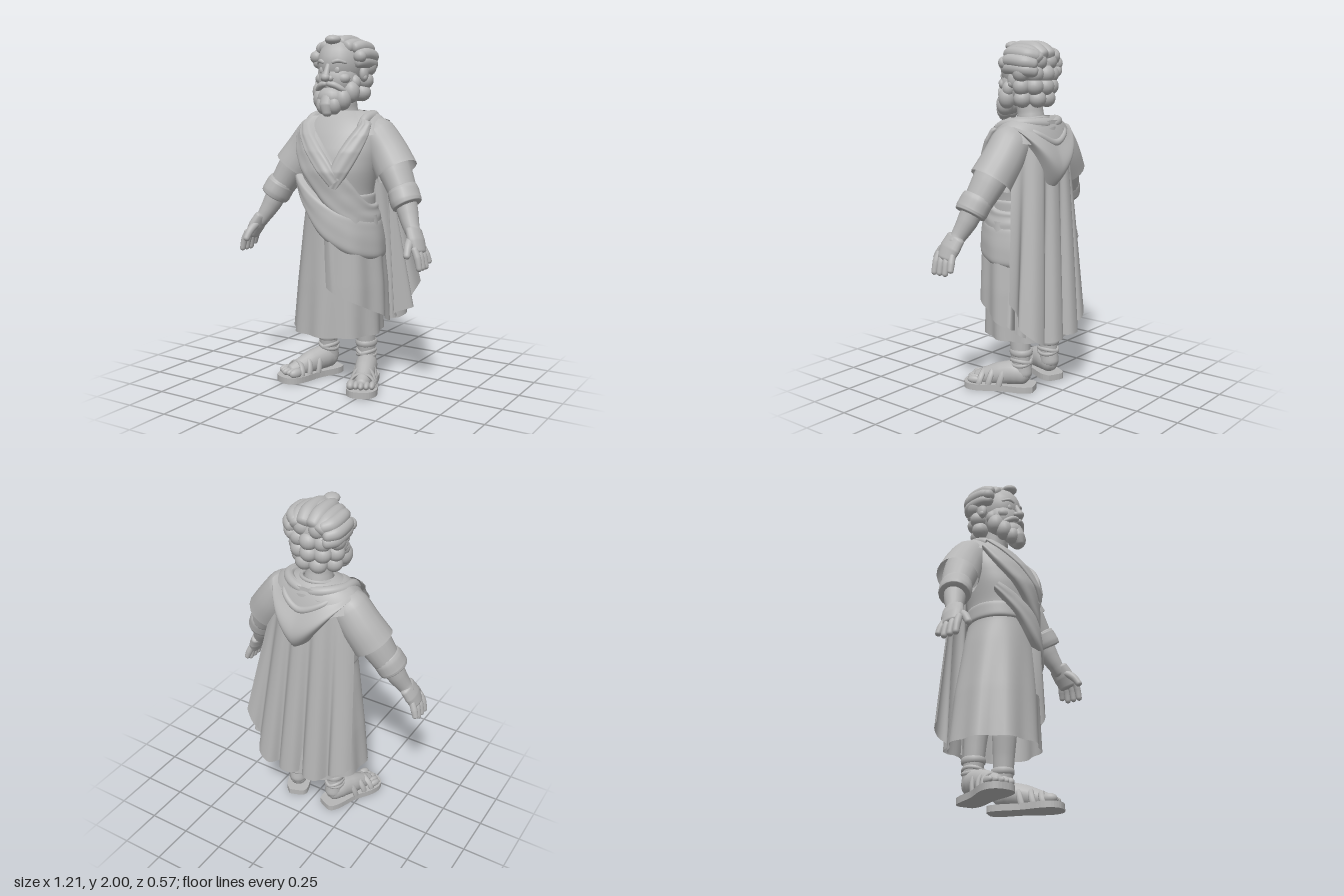
import * as THREE from 'three';
import { mergeVertices } from 'three/addons/utils/BufferGeometryUtils.js';

const grey = new THREE.MeshStandardMaterial({ color: 0xb6b6b6, side: THREE.DoubleSide });
grey.name = 'stone grey';
const V = (x, y, z) => new THREE.Vector3(x, y, z);
const lerp = THREE.MathUtils.lerp;

function add(parent, name, geo) {
  const m = new THREE.Mesh(geo, grey);
  m.name = name;
  parent.add(m);
  return m;
}

// Smooth sheet from a rule fn(u, v) -> Vector3
function sheet(parent, name, fn, nu, nv) {
  const pos = [], idx = [];
  for (let j = 0; j <= nv; j++) for (let i = 0; i <= nu; i++) pos.push(...fn(i / nu, j / nv).toArray());
  for (let j = 0; j < nv; j++) for (let i = 0; i < nu; i++) {
    const a = j * (nu + 1) + i, b = a + nu + 1;
    idx.push(a, a + 1, b, b, a + 1, b + 1);
  }
  let g = new THREE.BufferGeometry();
  g.setAttribute('position', new THREE.Float32BufferAttribute(pos, 3));
  g.setIndex(idx);
  g = mergeVertices(g, 1e-5);
  g.computeVertexNormals();
  return add(parent, name, g);
}

// Tapered rounded limb through points [x, y, z, radius]
function limb(parent, name, pts, flat = 1, cap = 0.12) {
  const curve = new THREE.CatmullRomCurve3(pts.map(p => V(p[0], p[1], p[2])));
  const dir = curve.getPoint(1).sub(curve.getPoint(0)).normalize();
  const ref = Math.abs(dir.z) > 0.8 ? V(0, 1, 0) : V(0, 0, 1);
  return sheet(parent, name, (u, t) => {
    const f = t * (pts.length - 1), i = Math.min(Math.floor(f), pts.length - 2);
    let r = lerp(pts[i][3], pts[i + 1][3], f - i);
    const d = Math.min(t, 1 - t);
    if (d < cap) r *= Math.sqrt(Math.max(0, 1 - (1 - d / cap) ** 2));
    const T = curve.getTangent(t), A = ref.clone().cross(T).normalize(), B = T.clone().cross(A);
    const a = (u % 1) * Math.PI * 2;
    return curve.getPoint(t).addScaledVector(A, r * Math.cos(a)).addScaledVector(B, r * flat * Math.sin(a));
  }, 18, 26);
}

function ball(parent, name, x, y, z, rx, ry = rx, rz = rx) {
  const m = add(parent, name, new THREE.SphereGeometry(1, 18, 12));
  m.position.set(x, y, z);
  m.scale.set(rx, ry, rz);
  return m;
}

// Body rows: y, half width, half depth, centre z
const rows = [[0.31, 0.262, 0.25, 0.015], [0.6, 0.245, 0.235, 0.02], [0.9, 0.215, 0.205, 0.035], [1.03, 0.195, 0.19, 0.045],
  [1.13, 0.2, 0.19, 0.045], [1.25, 0.225, 0.2, 0.045], [1.36, 0.245, 0.195, 0.025], [1.45, 0.25, 0.18, 0],
  [1.51, 0.235, 0.16, -0.02], [1.55, 0.18, 0.13, -0.025], [1.58, 0.09, 0.08, -0.02]];
function body(a, y, off = 0) {
  y = THREE.MathUtils.clamp(y, 0.31, 1.58);
  let i = 0;
  while (i < rows.length - 2 && y > rows[i + 1][0]) i++;
  const f = (y - rows[i][0]) / (rows[i + 1][0] - rows[i][0]);
  const [, rx, rz, cz] = rows[i].map((v, k) => lerp(v, rows[i + 1][k], f));
  const low = Math.max(0, (1.0 - y) / 0.7);
  off += low * 0.011 * Math.sin(9 * a + 0.6);
  return V(-0.025 * low + (rx + off) * Math.sin(a), y, cz + (rz + off) * Math.cos(a));
}

// Cloth band lying on the body through [angle, y, half width]
function band(parent, name, pts, base = 0.012, puff = 0.02, folds = 0) {
  const c = new THREE.CatmullRomCurve3(pts.map(p => V(p[0] * 0.23, p[1], p[2])));
  sheet(parent, name, (u, t) => {
    const p = c.getPoint(t), d = c.getTangent(t), l = Math.hypot(d.x, d.y), s = (u - 0.5) * 2 * p.z;
    const edge = Math.sqrt(Math.max(0, 1 - Math.abs(2 * u - 1) ** 6));
    const off = edge * (base + puff * (1 - 0.35 * u)) + folds * edge * Math.sin(u * 13 + t * 2) - 0.006;
    return body((p.x - d.y / l * s) / 0.23, p.y + d.x / l * s, off);
  }, 24, 44);
}

function buildArm(parent, s) {
  const arm = new THREE.Group();
  arm.name = s > 0 ? 'leftArm' : 'rightArm';
  parent.add(arm);
  const L = (name, pts, flat, cap) => limb(arm, name, pts.map(p => [s * p[0], p[1], p[2], p[3]]), flat, cap);
  L('sleeve', [[0.12, 1.5, -0.03, 0.07], [0.2, 1.44, -0.03, 0.112], [0.275, 1.345, -0.025, 0.117], [0.345, 1.245, -0.005, 0.122]], 1.0, 0);
  L('innerSleeve', [[0.27, 1.36, -0.02, 0.1], [0.35, 1.23, 0.01, 0.09], [0.42, 1.11, 0.04, 0.075]], 1.1);
  L('cuff', [[0.395, 1.165, 0.035, 0.078], [0.41, 1.14, 0.04, 0.085], [0.435, 1.09, 0.055, 0.086], [0.45, 1.065, 0.06, 0.08]], 1.12, 0.1);
  L('forearm', [[0.42, 1.12, 0.045, 0.065], [0.455, 1.03, 0.07, 0.058], [0.495, 0.95, 0.1, 0.044], [0.53, 0.9, 0.115, 0.04]]);
  L('palm', [[0.5, 0.96, 0.1, 0.034], [0.535, 0.89, 0.125, 0.038], [0.565, 0.82, 0.14, 0.03]], 1.8);
  for (let i = 0; i < 4; i++) {
    const z = 0.092 + i * 0.032, tip = 0.075 + i * 0.04, drop = i === 0 ? 0.025 : 0;
    L('finger', [[0.55, 0.87, z, 0.018], [0.575, 0.815, lerp(z, tip, 0.6), 0.02], [0.592, 0.74 + drop, tip, 0.016]]);
  }
  L('thumb', [[0.515, 0.91, 0.145, 0.024], [0.525, 0.87, 0.2, 0.023], [0.535, 0.81, 0.24, 0.018]]);
}

function buildLeg(parent, s) {
  const leg = new THREE.Group();
  leg.name = s > 0 ? 'leftLeg' : 'rightLeg';
  parent.add(leg);
  limb(leg, 'shin', [[s * 0.13, 0.06, -0.06, 0.055], [s * 0.132, 0.18, -0.045, 0.052], [s * 0.13, 0.32, -0.035, 0.058], [s * 0.12, 0.5, -0.02, 0.07]], 1.1);
  // Ankle straps
  for (const [y, tilt, h] of [[0.23, 0, 2.2], [0.17, 0.3, 1.3], [0.17, -0.35, 1.3]]) {
    const t = add(leg, 'ankleStrap', new THREE.TorusGeometry(0.054, 0.009, 8, 28));
    t.rotation.set(Math.PI / 2, tilt, 0);
    t.scale.set(1, 1.12, h);
    t.position.set(s * 0.131, y, -0.045);
  }
  // Splayed sandal and foot
  const foot = new THREE.Group();
  foot.name = 'foot';
  foot.position.set(s * 0.185, 0, 0.07);
  foot.rotation.y = s * 0.4;
  leg.add(foot);
  const half = [[0.045, -0.208], [0.07, -0.15], [0.068, -0.02], [0.088, 0.1], [0.08, 0.17], [0.038, 0.21]];
  const outline = [...half, ...half.map(p => [-p[0], p[1]]).reverse()].map(p => new THREE.Vector2(...p));
  const shape = new THREE.Shape(new THREE.SplineCurve([...outline, outline[0]]).getPoints(48));
  const sole = new THREE.ExtrudeGeometry(shape, { depth: 0.036, bevelEnabled: false });
  sole.rotateX(Math.PI / 2).translate(0, 0.036, 0);
  add(foot, 'sandalSole', sole);
  limb(foot, 'instep', [[0, 0.075, -0.185, 0.045], [0, 0.1, -0.1, 0.064], [0, 0.085, 0, 0.06], [0, 0.055, 0.12, 0.04], [0, 0.05, 0.16, 0.03]], 1.12);
  for (let i = 0; i < 5; i++) {
    const x = (i - 2) * 0.03, big = i === (s > 0 ? 0 : 4) ? 0.006 : 0;
    ball(foot, 'toe', x, 0.055, 0.155 - Math.abs(i - 2) * 0.008 + big, 0.018 + big, 0.022 + big, 0.042);
  }
  for (const [z, r, h] of [[0.11, 0.073, 1.0], [0.055, 0.068, 1.35], [-0.01, 0.066, 1.75]]) {
    const t = add(foot, 'footStrap', new THREE.TorusGeometry(r, 0.01, 8, 20, Math.PI));
    t.position.set(0, 0.033, z);
    t.scale.set(1, h, 1.8);
    t.rotation.x = -0.25;
  }
}

function buildHead(parent) {
  const head = new THREE.Group();
  head.name = 'head';
  parent.add(head);
  limb(head, 'neck', [[0, 1.5, -0.02, 0.09], [0, 1.6, -0.01, 0.075], [0, 1.72, 0.01, 0.075]]);
  ball(head, 'skull', 0, 1.84, 0.015, 0.13, 0.152, 0.157);
  ball(head, 'jaw', 0, 1.75, 0.058, 0.12, 0.12, 0.115);
  // Face
  limb(head, 'noseBridge', [[0, 1.84, 0.155, 0.014], [0, 1.795, 0.176, 0.017], [0, 1.76, 0.19, 0.022]]);
  ball(head, 'noseTip', 0, 1.762, 0.19, 0.026, 0.023, 0.025);
  ball(head, 'lowerLip', 0, 1.682, 0.165, 0.035, 0.011, 0.02);
  for (const s of [-1, 1]) {
    ball(head, 'nostril', s * 0.023, 1.757, 0.175, 0.016);
    ball(head, 'eye', s * 0.048, 1.803, 0.15, 0.018, 0.02, 0.009);
    ball(head, 'cheek', s * 0.065, 1.757, 0.115, 0.045, 0.034, 0.036);
    limb(head, 'eyebrow', [[s * 0.022, 1.842, 0.162, 0.011], [s * 0.055, 1.853, 0.152, 0.012], [s * 0.095, 1.84, 0.118, 0.007]]);
    limb(head, 'moustache', [[0, 1.73, 0.178, 0.014], [s * 0.04, 1.722, 0.168, 0.018], [s * 0.075, 1.7, 0.145, 0.016], [s * 0.095, 1.68, 0.12, 0.01]]);
    ball(head, 'ear', s * 0.137, 1.785, 0.005, 0.024, 0.046, 0.034);
    ball(head, 'earLobe', s * 0.147, 1.765, 0.012, 0.014, 0.02, 0.018);
    // Beard locks
    for (const [x, y, z, r] of [[0.11, 1.735, 0.06, 0.034], [0.098, 1.685, 0.08, 0.05], [0.068, 1.645, 0.12, 0.05], [0.035, 1.612, 0.155, 0.042]])
      ball(head, 'beardLock', s * x, y, z, r, r * 1.25, r);
    // Swept side hair
    for (const [y, x] of [[1.925, 0.122], [1.885, 0.147], [1.845, 0.142]])
      limb(head, 'sideHair', [[s * (x - 0.02), y - 0.005, 0.08, 0.028], [s * x, y + 0.006, 0.02, 0.036], [s * (x - 0.008), y - 0.005, -0.08, 0.04], [s * (x - 0.06), y - 0.02, -0.13, 0.03]]);
    ball(head, 'templeCurl', s * 0.143, 1.878, 0.06, 0.038, 0.036, 0.034);
    ball(head, 'sideCurl', s * 0.135, 1.825, -0.05, 0.045, 0.052, 0.05);
  }
  ball(head, 'beardCore', 0, 1.65, 0.135, 0.08, 0.065, 0.062);
  limb(head, 'beardTip', [[0, 1.66, 0.15, 0.045], [0, 1.605, 0.172, 0.044], [0.008, 1.548, 0.185, 0.02]]);
  // Combed crown and forelock
  for (const s of [-1, 1]) for (const [x, y] of [[0.033, 1.957], [0.08, 1.936]])
    limb(head, 'crownLock', [[s * x * 0.8, y - 0.014, 0.1, 0.035], [s * x, y, 0.03, 0.042],
      [s * x, y - 0.012, -0.07, 0.047], [s * x * 0.8, y - 0.06, -0.135, 0.042]]);
  ball(head, 'forelock', 0, 1.97, 0.112, 0.045, 0.027, 0.047);
  // Back curls
  for (let j = 0; j < 4; j++) {
    const n = [4, 5, 5, 4][j];
    for (let i = 0; i < n; i++) {
      const a = (i / (n - 1) - 0.5) * 2.4, q = [0.95, 1.02, 1, 0.88][j];
      ball(head, 'backCurl', 0.125 * q * Math.sin(a), 1.885 - j * 0.068, 0.005 - 0.122 * q * Math.cos(a), 0.052, 0.05, 0.048);
    }
  }
}

function buildClothes(g) {
  sheet(g, 'tunic', (u, v) => body((u % 1) * Math.PI * 2, lerp(0.31, 1.58, v)), 72, 44);
  band(g, 'belt', [[-3.1, 1.07, 0.05], [-1, 1.075, 0.05], [0.9, 1.07, 0.05], [3.1, 1.07, 0.05]], 0.008, 0.012);
  const neckline = add(g, 'neckline', new THREE.TorusGeometry(0.1, 0.012, 8, 32));
  neckline.rotation.x = Math.PI / 2 + 0.15;
  neckline.position.set(0, 1.56, -0.01);
  // Side panel hanging from the left hip
  sheet(g, 'sidePanel', (u, v) => {
    const a = lerp(0.22, 2.4, u), hem = 0.6 - 0.25 * Math.min(1, u * 1.15);
    return body(a - 0.15 * (1 - v) * (1 - u), lerp(1.0, hem, v), 0.032 * Math.min(1, u * 12) + 0.006 * Math.sin(u * 22));
  }, 48, 20);
  // Wraps across the chest and hip
  band(g, 'hipWrap', [[-1.0, 1.2, 0.03], [-0.3, 1.07, 0.06], [0.4, 0.95, 0.1], [1.1, 0.88, 0.12], [2.2, 0.86, 0.13]], 0.03, 0.022, 0.001);
  band(g, 'chestSash', [[-0.95, 1.49, 0.05], [-0.6, 1.4, 0.09], [0, 1.24, 0.1], [0.6, 1.1, 0.1], [1.3, 1.0, 0.08], [2.2, 1.0, 0.06]], 0.02, 0.025, 0.002);
  band(g, 'shoulderFold', [[0.95, 1.53, 0.03], [0.72, 1.4, 0.055], [0.5, 1.26, 0.055], [0.35, 1.16, 0.03]], 0.032, 0.016, 0.002);
  band(g, 'crossFold', [[-0.85, 1.53, 0.03], [-0.4, 1.42, 0.04], [0, 1.31, 0.045], [0.4, 1.19, 0.04]], 0.034, 0.02, 0.002);
  // Mantle over the shoulders and round the back, open at the front
  sheet(g, 'mantle', (u, v) => {
    const a = lerp(0.75, Math.PI * 2 - 0.75, u), c = Math.cos(a), r = lerp(0.15, 0.288, v);
    return V(r * Math.sin(a), 1.578 - 0.1 * v * v - 0.05 * v * Math.abs(c), -0.035 + (c > 0 ? r * 0.78 : r * 0.5 + 0.03) * c);
  }, 56, 10);
  // Cowl roll round the neck
  for (const s of [-1, 1])
    limb(g, 'cowlSide', [[s * 0.17, 1.46, 0.125, 0.02], [s * 0.175, 1.53, 0.055, 0.03], [s * 0.17, 1.55, -0.05, 0.03], [s * 0.1, 1.55, -0.125, 0.028], [0, 1.535, -0.15, 0.028]]);
  // Long pleated cape
  sheet(g, 'cape', (u, v) => {
    const e = Math.abs(2 * u - 1), hem = 0.33 + 0.1 * Math.max(0, 1 - u * 5) + 0.27 * Math.max(0, (u - 0.72) / 0.28) ** 1.5;
    const x = lerp(-0.24 - 0.055 * Math.sqrt(v), 0.24 + 0.17 * v, u), w = u * 4.3 * Math.PI * 2 - 14.3;
    const fold = (0.005 + 0.025 * v) * (Math.cos(w) - 0.18 * Math.cos(2 * w));
    return V(x + 0.012 * v * Math.sin(w), lerp(1.53 - 0.05 * e, hem, v), -0.175 - 0.085 * v ** 0.8 + (0.12 - 0.02 * v) * e ** 3 - fold);
  }, 88, 30);
  // Front return of the cape at the left side
  sheet(g, 'capeReturn', (u, v) => V(lerp(0.25 + 0.13 * v, 0.23, u) + 0.02 * Math.sin(u * 9) * v,
    lerp(1.25, lerp(0.46, 0.36, u), v), -0.09 - 0.05 * v - 0.025 * Math.sin(u * 8) * v), 16, 20);
  // Hood hanging on the back, its point a little to the left, curling under at the edge
  sheet(g, 'hood', (u, v) => {
    const k = 2 * u - 1, e = Math.abs(k), drop = 0.04 + 0.35 * (1 - e ** 1.4);
    return V(k * (0.2 + 0.045 * Math.sin(v * Math.PI)) + 0.045 * v * (1 - e), 1.565 - 0.02 * e - drop * v ** 0.9,
      -0.165 - 0.082 * Math.sin(Math.PI * v ** 1.6) * (1 - 0.5 * e * e) - 0.02 * v + 0.11 * e ** 3);
  }, 44, 28);
  limb(g, 'hoodFold', [[-0.17, 1.54, -0.08, 0.014], [-0.11, 1.49, -0.165, 0.018], [0.015, 1.44, -0.195, 0.022], [0.12, 1.49, -0.165, 0.018], [0.17, 1.54, -0.08, 0.014]]);
}

export function createModel() {
  const model = new THREE.Group();
  model.name = 'robedMan';
  buildClothes(model);
  for (const s of [-1, 1]) {
    buildArm(model, s);
    buildLeg(model, s);
  }
  buildHead(model);
  return model;
}
